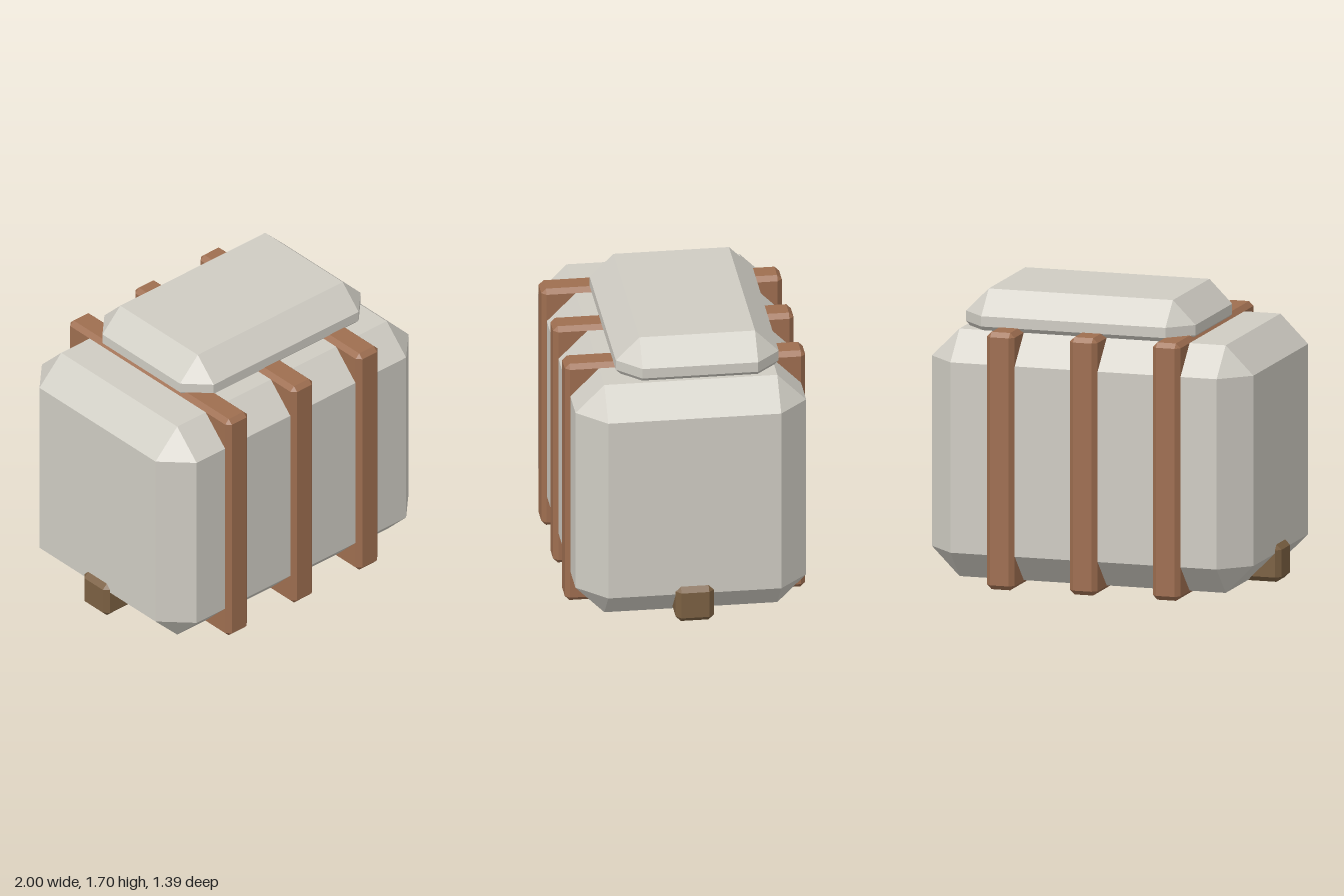
import * as THREE from 'three';
import { ConvexGeometry } from 'three/addons/geometries/ConvexGeometry.js';

// Box with 45 degree chamfers on every edge and triangular corners
function chamferBox(name, material, [x0, x1], [y0, y1], [z0, z1], c) {
  const hx = (x1 - x0) / 2, hy = (y1 - y0) / 2, hz = (z1 - z0) / 2;
  const points = [];
  for (const sx of [-1, 1]) for (const sy of [-1, 1]) for (const sz of [-1, 1]) {
    points.push(
      new THREE.Vector3(sx * hx, sy * (hy - c), sz * (hz - c)),
      new THREE.Vector3(sx * (hx - c), sy * hy, sz * (hz - c)),
      new THREE.Vector3(sx * (hx - c), sy * (hy - c), sz * hz)
    );
  }
  const mesh = new THREE.Mesh(new ConvexGeometry(points), material);
  mesh.name = name;
  mesh.position.set((x0 + x1) / 2, (y0 + y1) / 2, (z0 + z1) / 2);
  return mesh;
}

export function createModel() {
  const stone = new THREE.MeshStandardMaterial({ color: 0xcfccc3 });
  stone.name = 'pale stone';
  const leather = new THREE.MeshStandardMaterial({ color: 0x9e6e50 });
  leather.name = 'brown strap';
  const wood = new THREE.MeshStandardMaterial({ color: 0x7b6042 });
  wood.name = 'dark wood';

  const model = new THREE.Group();
  model.name = 'strappedBlock';

  // Main block and the slab half sunk into its top
  model.add(chamferBox('body', stone, [-0.97, 0.97], [0.03, 1.475], [-0.667, 0.667], 0.167));
  model.add(chamferBox('topSlab', stone, [-0.585, 0.8], [1.363, 1.697], [-0.527, 0.415], 0.137));

  // Three bands wrapped around the block
  const straps = new THREE.Group();
  straps.name = 'straps';
  for (const x of [-0.502, -0.002, 0.498]) {
    straps.add(chamferBox('strap', leather, [x - 0.083, x + 0.083], [0, 1.502], [-0.695, 0.695], 0.027));
  }
  model.add(straps);

  // Crossbar running through the base, ends showing at both sides
  model.add(chamferBox('crossbar', wood, [-1, 1], [0.027, 0.245], [-0.11, 0.11], 0.03));
  return model;
}
